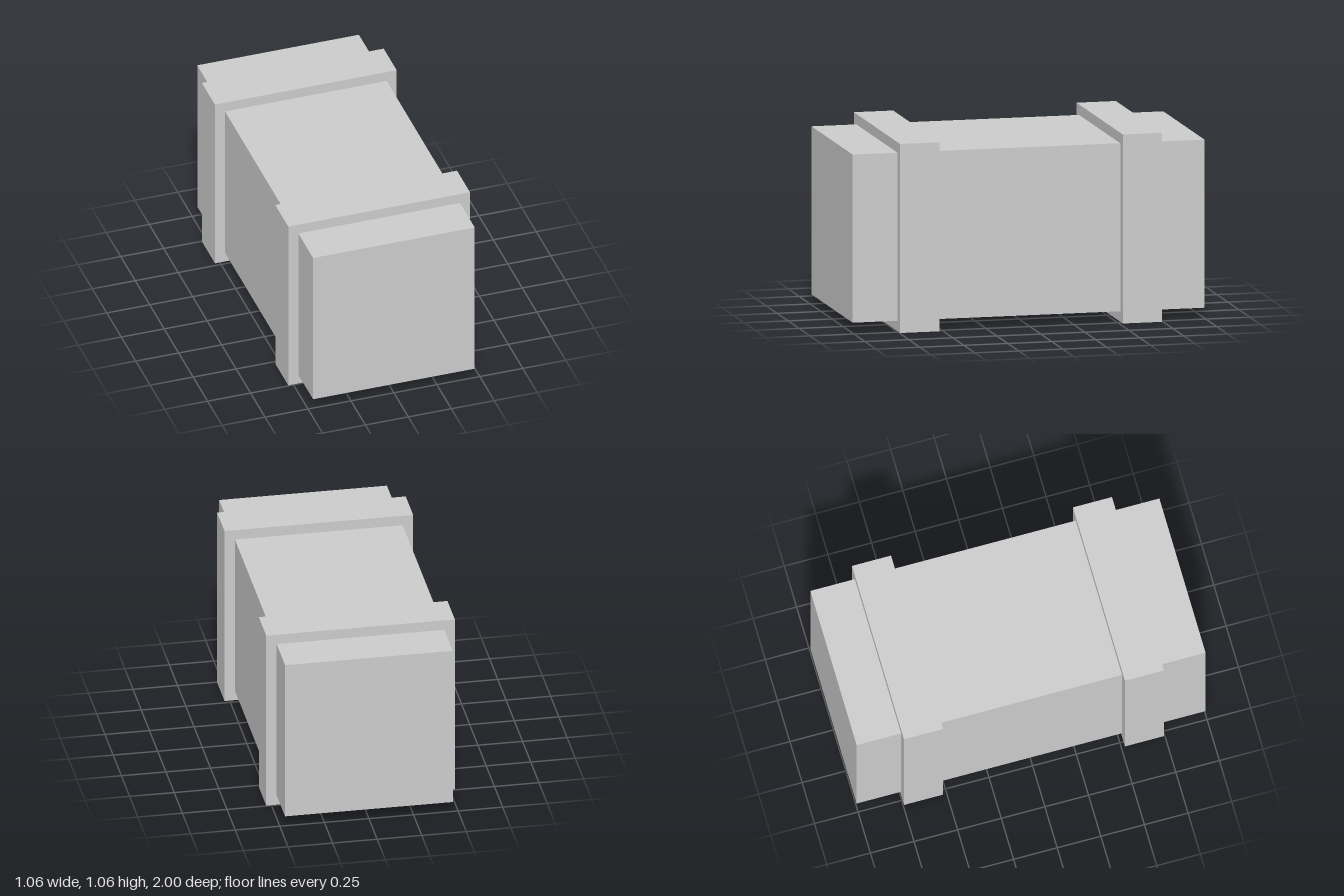
import * as THREE from 'three';

const material = new THREE.MeshStandardMaterial({ color: 0xcccccc, flatShading: true });
const CENTRE_Y = 0.529;

// Square block of the given cross-section and length, centred on the long axis
function block(name, size, length, z) {
  const mesh = new THREE.Mesh(new THREE.BoxGeometry(size, size, length), material);
  mesh.name = name;
  mesh.position.set(0, CENTRE_Y, z);
  return mesh;
}

export function createModel() {
  const group = new THREE.Group();
  group.name = 'bandedCrate';

  // Long square body
  group.add(block('body', 0.941, 2, 0));

  // Raised bands near both ends
  for (const [name, side] of [['frontBand', 1], ['backBand', -1]]) {
    group.add(block(name, 1.058, 0.224, side * 0.633));
  }
  return group;
}
